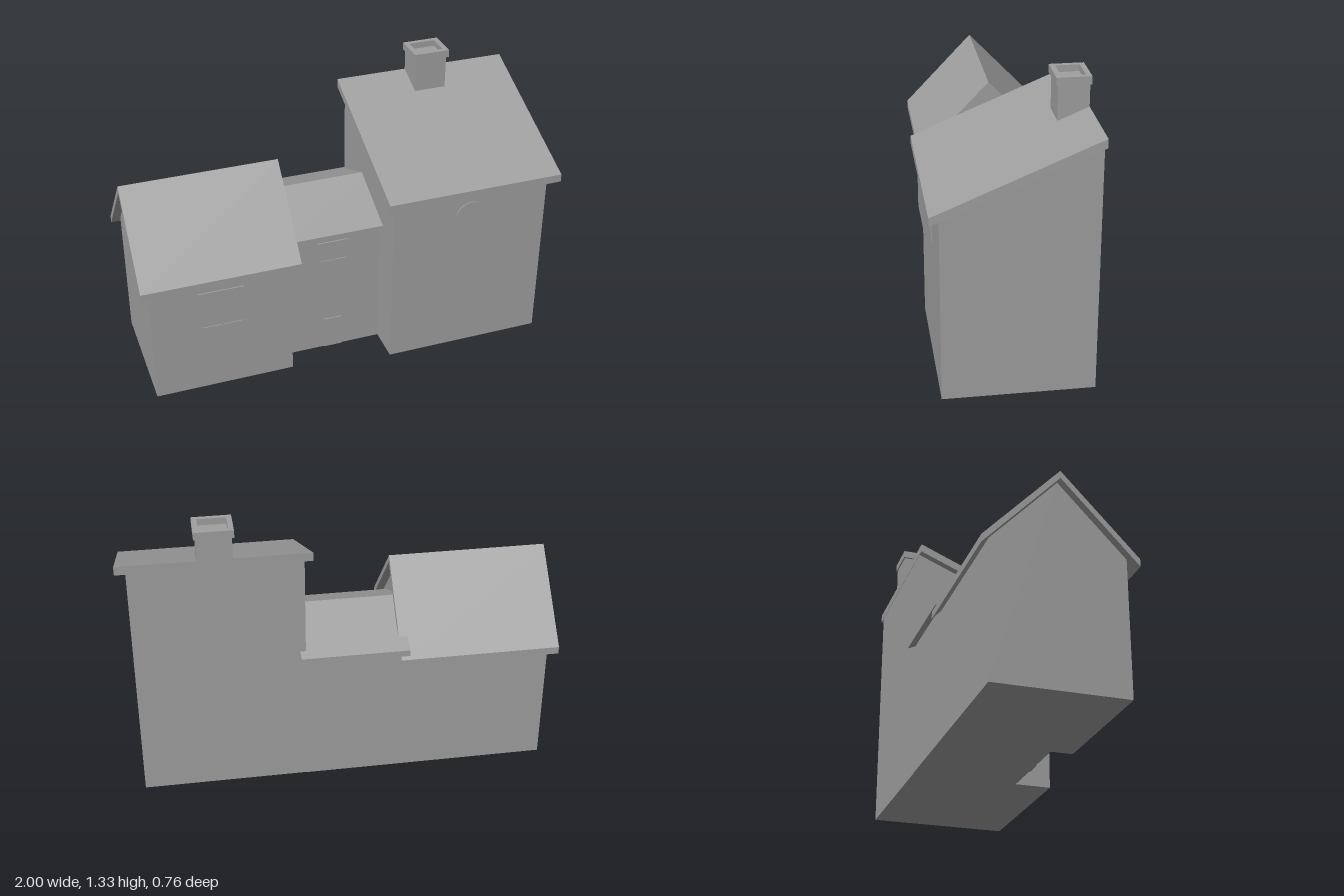
import * as THREE from 'three';

export function createModel() {
  const group = new THREE.Group();
  group.name = 'houses';
  const stone = new THREE.MeshStandardMaterial({ color: 0xa0a0a0 });
  stone.name = 'plain grey';

  const add = (name, geo, parent = group) => {
    const mesh = new THREE.Mesh(geo, stone);
    mesh.name = name;
    parent.add(mesh);
    return mesh;
  };

  // Side profile of [z, y] points, counter-clockwise, swept from x0 to x1
  const sweep = (name, pts, x0, x1) => {
    const shape = new THREE.Shape(pts.map(([z, y]) => new THREE.Vector2(z, y)));
    const geo = new THREE.ExtrudeGeometry(shape, { depth: x1 - x0, bevelEnabled: false });
    geo.rotateY(-Math.PI / 2);
    geo.translate(x1, 0, 0);
    return add(name, geo);
  };

  // House with a symmetrical pitched roof; eave and ridge are heights of the roof top
  const gabledHouse = (name, { wallX, roofX, mid, wallHalf, roofHalf, eave, ridge, thick }) => {
    const slope = (ridge - eave) / roofHalf;
    const wallTop = ridge - thick - slope * wallHalf;
    sweep(name + 'Walls', [
      [mid - wallHalf, 0], [mid + wallHalf, 0], [mid + wallHalf, wallTop],
      [mid, ridge - thick], [mid - wallHalf, wallTop],
    ], ...wallX);
    sweep(name + 'Roof', [
      [mid - roofHalf, eave - thick], [mid, ridge - thick], [mid + roofHalf, eave - thick],
      [mid + roofHalf, eave], [mid, ridge], [mid - roofHalf, eave],
    ], ...roofX);
  };

  gabledHouse('leftHouse', {
    wallX: [-0.96, -0.295], roofX: [-1, -0.255], mid: -0.035,
    wallHalf: 0.302, roofHalf: 0.345, eave: 0.62, ridge: 0.983, thick: 0.035,
  });
  gabledHouse('middleHouse', {
    wallX: [-0.295, 0.18], roofX: [-0.295, 0.205], mid: -0.087,
    wallHalf: 0.25, roofHalf: 0.288, eave: 0.668, ridge: 0.8, thick: 0.03,
  });

  // Tall house with a single-pitch roof
  sweep('tallHouseWalls', [[-0.335, 0], [0.335, 0], [0.335, 0.869], [-0.335, 1.147]], 0.18, 0.95);
  sweep('tallHouseRoof', [[-0.336, 1.147], [0.38, 0.85], [0.38, 0.888], [-0.336, 1.187]], 0.142, 0.998);

  // Chimney and hollow cap
  sweep('chimney', [[-0.336, 1.18], [-0.2, 1.12], [-0.2, 1.295], [-0.336, 1.295]], 0.49, 0.645);

  const rect = (path, w, h, x = 0, y = 0) => {
    path.moveTo(x - w / 2, y - h / 2);
    path.lineTo(x + w / 2, y - h / 2);
    path.lineTo(x + w / 2, y + h / 2);
    path.lineTo(x - w / 2, y + h / 2);
    path.closePath();
    return path;
  };
  const capShape = rect(new THREE.Shape(), 0.175, 0.152);
  capShape.holes.push(rect(new THREE.Path(), 0.128, 0.105));
  const cap = new THREE.ExtrudeGeometry(capShape, { depth: 0.036, bevelEnabled: false });
  cap.rotateX(-Math.PI / 2);
  add('chimneyCap', cap).position.set(0.5675, 1.289, -0.266);

  // Thin two-pane window with a raised frame
  const paneWindow = (name, x, y, z, w, h, rim) => {
    const win = new THREE.Group();
    win.name = name;
    win.position.set(x, y, z);
    group.add(win);
    const paneW = (w - 3 * rim) / 2;
    const frame = rect(new THREE.Shape(), w, h);
    for (const s of [-1, 1]) {
      frame.holes.push(rect(new THREE.Path(), paneW, h - 2 * rim, s * (paneW + rim) / 2));
      add('pane', new THREE.BoxGeometry(paneW, h - 2 * rim, 0.003), win)
        .position.set(s * (paneW + rim) / 2, 0, 0.001);
    }
    add('frame', new THREE.ExtrudeGeometry(frame, { depth: 0.006, bevelEnabled: false }), win);
  };
  paneWindow('leftWindow', -0.628, 0.435, 0.267, 0.216, 0.2, 0.01);
  paneWindow('middleWindow', -0.055, 0.555, 0.163, 0.15, 0.11, 0.008);

  // Door of the middle house
  add('door', new THREE.BoxGeometry(0.09, 0.165, 0.006)).position.set(-0.056, 0.0825, 0.165);

  // Round-topped window of the tall house
  const arch = new THREE.Shape();
  arch.moveTo(-0.075, 0.595);
  arch.lineTo(0.075, 0.595);
  arch.lineTo(0.075, 0.725);
  arch.absarc(0, 0.725, 0.075, 0, Math.PI, false);
  arch.closePath();
  add('archedWindow', new THREE.ExtrudeGeometry(arch, { depth: 0.006, bevelEnabled: false, curveSegments: 16 }))
    .position.set(0.565, 0, 0.334);

  return group;
}
